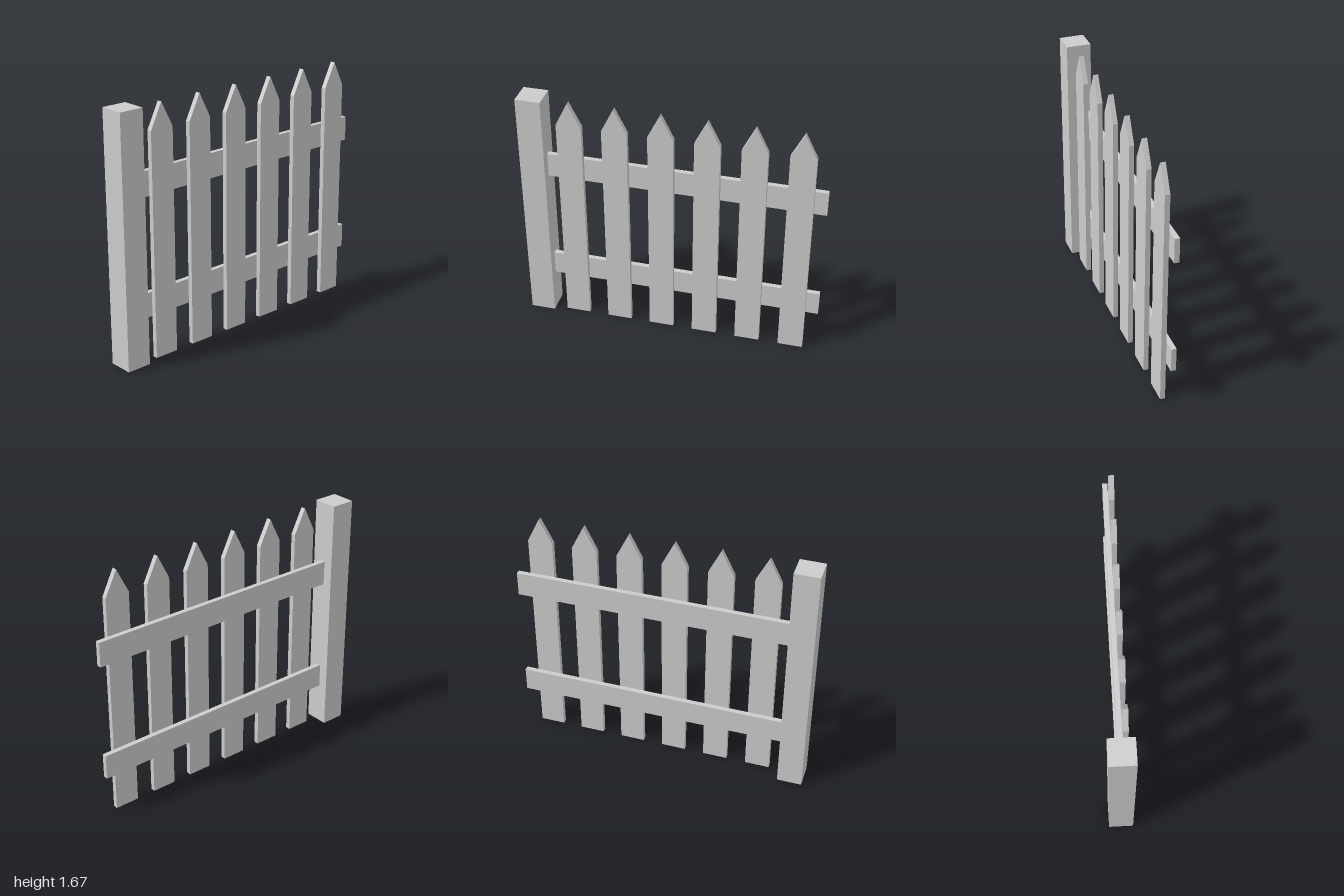
import * as THREE from 'three';

const material = new THREE.MeshStandardMaterial({ color: 0xcccccc, flatShading: true, side: THREE.DoubleSide });

// Drops the triangles lying on the ground, leaving the part open underneath
function openBottom(geometry) {
  const source = geometry.index ? geometry.toNonIndexed() : geometry;
  const p = source.attributes.position;
  const kept = [];
  for (let i = 0; i < p.count; i += 3) {
    if (Math.max(p.getY(i), p.getY(i + 1), p.getY(i + 2)) < 1e-4) continue;
    for (let j = i; j < i + 3; j++) kept.push(p.getX(j), p.getY(j), p.getZ(j));
  }
  const result = new THREE.BufferGeometry();
  result.setAttribute('position', new THREE.Float32BufferAttribute(kept, 3));
  result.computeVertexNormals();
  return result;
}

export function createModel() {
  const fence = new THREE.Group();
  fence.name = 'picketFence';
  const add = (name, geometry, x, y, z) => {
    const mesh = new THREE.Mesh(geometry, material);
    mesh.name = name;
    mesh.position.set(x, y, z);
    fence.add(mesh);
  };

  const height = 1.667, width = 0.1667, thickness = 0.0333;

  // Square end post
  const post = new THREE.BoxGeometry(width, height, width).translate(0, height / 2, 0);
  add('post', openBottom(post), -1 + width / 2, 0, 0);

  // Two horizontal rails running from the post
  const railLength = 2 - width;
  const rail = new THREE.BoxGeometry(railLength, width, thickness);
  add('lowerRail', rail, 1 - railLength / 2, 0.367, 0);
  add('upperRail', rail, 1 - railLength / 2, 1.167, 0);

  // Six pointed pickets on the front of the rails
  const half = width / 2;
  const outline = new THREE.Shape([
    new THREE.Vector2(-half, 0),
    new THREE.Vector2(half, 0),
    new THREE.Vector2(half, 1.5),
    new THREE.Vector2(0, height),
    new THREE.Vector2(-half, 1.5),
  ]);
  const picket = openBottom(new THREE.ExtrudeGeometry(outline, { depth: thickness, bevelEnabled: false }));
  for (let i = 0; i < 6; i++) add(`picket${i + 1}`, picket, -0.667 + i * 0.3, 0, thickness / 2);

  return fence;
}
